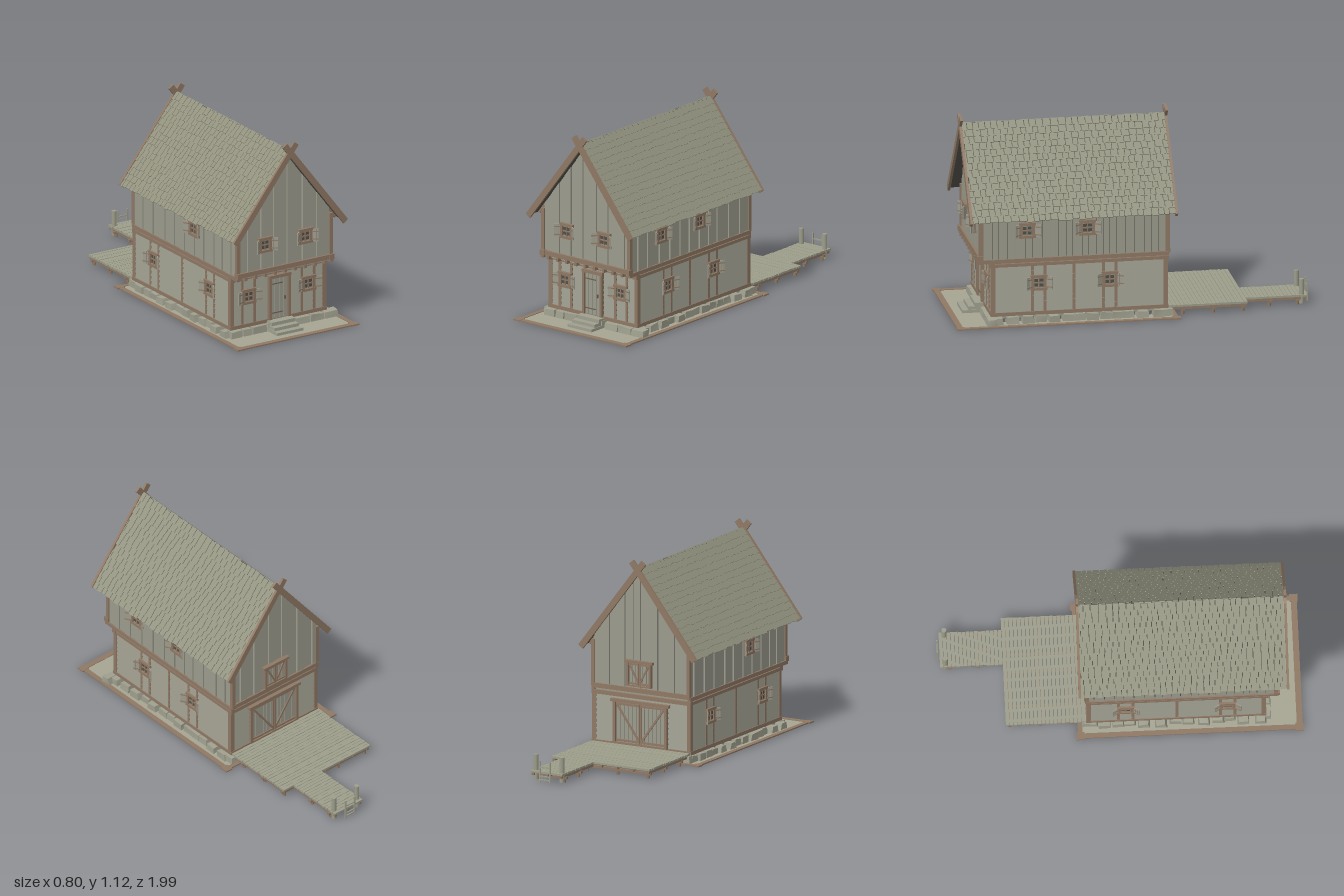
import * as THREE from 'three';
import { mergeGeometries } from 'three/addons/utils/BufferGeometryUtils.js';

const material = (name, color) => {
  const m = new THREE.MeshStandardMaterial({ color });
  m.name = name;
  return m;
};
const WALL = material('weatheredBoards', 0x9c9b8d);
const TRIM = material('brownTimber', 0x8f7864);
const ROOF = material('roofShingles', 0x92927f);
const STONE = material('fieldstone', 0xa0a08f);
const GROUND = material('packedGround', 0xa6a491);
const DECK = material('deckPlanks', 0x9d9d8b);
const GAP = material('darkGaps', 0x504f47);
const GLASS = material('windowGlass', 0x8f9288);
const IRON = material('iron', 0x6e5a4b);

let seed = 7;
const rnd = () => (seed = (seed * 16807) % 2147483647) / 2147483647;

// Box from centre and size, with optional rotation
const bx = (w, h, d, x, y, z, rx = 0, ry = 0, rz = 0) =>
  new THREE.BoxGeometry(w, h, d).rotateX(rx).rotateY(ry).rotateZ(rz).translate(x, y, z);
// Box from its limits
const span = (x0, x1, y0, y1, z0, z1) =>
  bx(x1 - x0, y1 - y0, z1 - z0, (x0 + x1) / 2, (y0 + y1) / 2, (z0 + z1) / 2);
const part = (parent, name, mat, ...geos) => {
  const mesh = new THREE.Mesh(geos.length > 1 ? mergeGeometries(geos) : geos[0], mat);
  mesh.name = name;
  parent.add(mesh);
  return mesh;
};

// Stand an object, built facing +z, on one of the four walls
const TURN = { front: 0, right: Math.PI / 2, back: Math.PI, left: -Math.PI / 2 };
function place(parent, obj, face, along, y, out) {
  obj.rotation.y = TURN[face];
  if (face === 'front' || face === 'back') obj.position.set(along, y, out);
  else obj.position.set(out, y, along);
  parent.add(obj);
}

function makeWindow(shutterTurn) {
  const g = new THREE.Group();
  g.name = 'window';
  part(g, 'glass', GLASS, span(-0.03, 0.03, -0.03, 0.03, 0, 0.006));
  part(g, 'windowFrame', TRIM,
    span(-0.042, -0.026, -0.04, 0.04, 0, 0.016), span(0.026, 0.042, -0.04, 0.04, 0, 0.016),
    span(-0.046, 0.046, 0.03, 0.045, 0, 0.018), span(-0.046, 0.046, -0.042, -0.028, 0, 0.018),
    span(-0.003, 0.003, -0.03, 0.03, 0, 0.011), span(-0.03, 0.03, -0.003, 0.003, 0, 0.011));
  part(g, 'windowGaps', GAP, ...[-1, 1].flatMap(s => [
    span(s * 0.014 - 0.01, s * 0.014 + 0.01, -0.022, -0.005, 0, 0.008),
    span(s * 0.014 - 0.01, s * 0.014 + 0.01, 0.005, 0.022, 0, 0.008)]));
  for (const s of [-1, 1]) {
    const shutter = new THREE.Group();
    shutter.name = 'shutter';
    part(shutter, 'shutterBoards', WALL, ...[0, 1, 2].map(i =>
      span(s * (0.006 + i * 0.012) - 0.0053, s * (0.006 + i * 0.012) + 0.0053, -0.036, 0.036, 0, 0.006)));
    part(shutter, 'shutterBattens', TRIM, ...[-0.022, 0.022].map(y =>
      bx(0.036, 0.006, 0.004, s * 0.018, y, 0.008)));
    shutter.position.set(s * 0.043, 0, 0.01);
    shutter.rotation.y = -s * shutterTurn;
    g.add(shutter);
  }
  return g;
}

// Lapped horizontal boards
function makeSiding(width) {
  const g = new THREE.Group();
  g.name = 'horizontalSiding';
  part(g, 'lapBoards', WALL, ...Array.from({ length: 9 }, (_, i) =>
    bx(width, 0.03, 0.007, 0, 0.079 + i * 0.0293, 0.002, -0.18)));
  return g;
}

// Upright boards; top(x) gives the height of the upper edge
function makeUprights(half, top) {
  const g = new THREE.Group();
  g.name = 'uprightBoards';
  const geos = [];
  for (let a = -half, i = 0; a < half - 0.005; i++) {
    let b = Math.min(half, a + 0.034 + rnd() * 0.026);
    if (half - b < 0.015) b = half;
    const x0 = a + 0.002, x1 = b - 0.002;
    const s = new THREE.Shape();
    s.moveTo(x0, 0.37).lineTo(x1, 0.37).lineTo(x1, top(x1));
    if (x0 < 0 && x1 > 0) s.lineTo(0, top(0));
    s.lineTo(x0, top(x0)).closePath();
    geos.push(new THREE.ExtrudeGeometry(s, { depth: i % 2 ? 0.012 : 0.007, bevelEnabled: false }));
    a = b;
  }
  part(g, 'boards', WALL, ...geos);
  return g;
}

function makeRoofHalf(s) {
  const g = new THREE.Group(), slope = new THREE.Group();
  g.name = 'roofHalf';
  slope.rotation.z = -0.914;
  g.add(slope);
  part(slope, 'roofUnderlay', GAP, span(-0.004, 0.585, -0.01, 0, -0.565, 0.565));
  const tiles = [];
  for (let r = 0; r < 15; r++) {
    for (let z = -0.568; z < 0.562;) {
      const w = Math.min(r % 2 && z === -0.568 ? 0.02 : 0.028 + rnd() * 0.018, 0.57 - z);
      tiles.push(bx(0.046, 0.006, w - 0.004, 0.02 + r * 0.0395 + (rnd() - 0.5) * 0.008, 0.005, z + w / 2, 0, 0, 0.1));
      z += w;
    }
  }
  part(slope, 'shingles', ROOF, ...tiles);
  part(slope, 'bargeBoards', TRIM, ...[-1, 1].map(e =>
    span(-0.055, 0.597, -0.022, 0.012, e * 0.572 + s * 0.004 - 0.007, e * 0.572 + s * 0.004 + 0.007)));
  part(slope, 'rafterEnds', TRIM, ...Array.from({ length: 12 }, (_, i) =>
    bx(0.1, 0.014, 0.016, 0.53, -0.016, -0.5 + i * 0.0909)));
  g.position.set(0, 1.065, 0.333);
  g.rotation.y = s > 0 ? 0 : Math.PI;
  return g;
}

// Rough stone: a box whose corners move by a seeded amount
function stone(w, h, d, x, z) {
  const g = new THREE.BoxGeometry(w, h, d), p = g.attributes.position;
  const k = Array.from({ length: 8 }, () => [rnd(), rnd(), rnd()]);
  for (let i = 0; i < p.count; i++) {
    const c = k[(p.getX(i) > 0 ? 1 : 0) + (p.getY(i) > 0 ? 2 : 0) + (p.getZ(i) > 0 ? 4 : 0)];
    const up = p.getY(i) > 0 ? 1 : 0;
    p.setXYZ(i, p.getX(i) * (1 - 0.2 * c[0]), p.getY(i) - up * 0.01 * c[1], p.getZ(i) * (1 - (0.1 + 0.3 * up) * c[2]));
  }
  g.computeVertexNormals();
  return g.translate(x, h / 2, z);
}

function makeDock() {
  const g = new THREE.Group();
  g.name = 'dock';
  const planks = [], frame = [], piles = [];
  const deck = (x0, x1, z0, z1) => {
    const n = Math.round((z0 - z1) / 0.022), p = (z0 - z1) / n;
    for (let i = 0; i < n; i++) {
      const j = rnd() * 0.004;
      planks.push(span(x0 + j, x1 - j, 0.046, 0.056 + rnd() * 0.002, z0 - (i + 1) * p + 0.001, z0 - i * p - 0.001));
    }
  };
  deck(-0.315, 0.315, -0.2, -0.64);
  deck(0.04, 0.245, -0.64, -0.985);
  for (const x of [-0.3, -0.2, -0.1, 0, 0.1, 0.2, 0.3]) frame.push(bx(0.014, 0.016, 0.43, x, 0.038, -0.42));
  for (const x of [0.055, 0.14, 0.23]) frame.push(bx(0.014, 0.016, 0.35, x, 0.038, -0.805));
  for (const [z, x0, x1] of [[-0.28, -0.31, 0.31], [-0.45, -0.31, 0.31], [-0.615, -0.31, 0.31], [-0.775, 0.04, 0.245], [-0.93, 0.04, 0.245]]) {
    frame.push(span(x0, x1, 0.02, 0.034, z - 0.009, z + 0.009));
    const n = x1 - x0 > 0.4 ? 4 : 2;
    for (let i = 0; i < n; i++)
      piles.push(new THREE.CylinderGeometry(0.01, 0.01, 0.032, 8).translate(x0 + 0.02 + i * (x1 - x0 - 0.04) / (n - 1), 0.016, z));
  }
  part(g, 'planks', DECK, ...planks);
  part(g, 'dockFrame', TRIM, ...frame);
  part(g, 'piles', TRIM, ...piles);
  part(g, 'mooringPosts', DECK, ...[0.06, 0.225].map(x =>
    new THREE.CylinderGeometry(0.014, 0.014, 0.14, 10).translate(x, 0.075, -0.955)));
  part(g, 'ladder', DECK, ...[0.11, 0.175].map(x => bx(0.008, 0.12, 0.008, x, 0.06, -0.996)),
    ...[0.015, 0.035, 0.085].map(y => bx(0.065, 0.006, 0.006, 0.1425, y, -0.996)));
  return g;
}

export function createModel() {
  const model = new THREE.Group();
  model.name = 'timberHouse';

  // Ground plate, open under the house, with a raised timber edge
  const rect = (C, x, z0, z1) => new C([[-x, z0], [x, z0], [x, z1], [-x, z1]].map(p => new THREE.Vector2(...p)));
  const plot = rect(THREE.Shape, 0.385, -0.985, 0.235);
  plot.holes.push(rect(THREE.Path, 0.285, -0.765, 0.175));
  part(model, 'ground', GROUND, new THREE.ExtrudeGeometry(plot, { depth: 0.004, bevelEnabled: false }).rotateX(-Math.PI / 2));
  part(model, 'groundEdge', TRIM, span(-0.39, 0.39, 0, 0.007, 0.957, 0.99), span(-0.39, 0.39, 0, 0.007, -0.245, -0.22),
    ...[-1, 1].flatMap(s => [bx(0.028, 0.007, 1.23, s * 0.376, 0.0035, 0.373),
      bx(0.045, 0.008, 0.045, s * 0.376, 0.004, 0.972), bx(0.045, 0.008, 0.045, s * 0.376, 0.004, -0.232)]));

  // Foundation
  const stones = [];
  for (const s of [-1, 1]) {
    for (let z = -0.19; z < 0.78;) {
      const w = 0.05 + rnd() * 0.05;
      stones.push(stone(w, 0.047, 0.07, s * 0.302, z + w / 2).translate(0, 0, 0));
      z += w;
    }
    for (let x = -0.325; x < 0.3;) {
      const w = 0.06 + rnd() * 0.05;
      stones.push(stone(w, 0.047, 0.06, x + w / 2, s > 0 ? 0.79 : -0.195));
      x += w;
    }
  }
  part(model, 'foundationStones', STONE, ...stones);
  part(model, 'steps', STONE, span(-0.085, 0.085, 0, 0.02, 0.79, 0.91),
    span(-0.08, 0.08, 0.02, 0.038, 0.79, 0.875), span(-0.075, 0.08, 0.038, 0.058, 0.79, 0.84));

  // Lower storey
  part(model, 'lowerWalls', WALL, span(-0.303, -0.285, 0.03, 0.35, -0.18, 0.778), span(0.285, 0.303, 0.03, 0.35, -0.18, 0.778),
    span(-0.3, 0.3, 0.03, 0.35, 0.76, 0.778), span(-0.3, 0.3, 0.03, 0.35, -0.182, -0.165));
  place(model, makeSiding(0.6), 'front', 0, 0, 0.78);
  place(model, makeSiding(0.6), 'back', 0, 0, -0.184);
  place(model, makeSiding(0.95), 'right', 0.298, 0, 0.304);
  place(model, makeSiding(0.95), 'left', 0.298, 0, -0.304);
  const timber = [];
  for (const s of [-1, 1]) {
    for (const z of [0.778, -0.183]) timber.push(bx(0.024, 0.29, 0.024, s * 0.302, 0.195, z));
    for (const x of [0.155, 0.235]) timber.push(bx(0.015, 0.265, 0.016, s * x, 0.195, 0.782));
    timber.push(bx(0.014, 0.02, 0.99, s * 0.309, 0.055, 0.298), bx(0.014, 0.018, 0.99, s * 0.308, 0.334, 0.298),
      bx(0.02, 0.022, 1.06, s * 0.305, 0.358, 0.33));
    for (const z of s > 0 ? [0.56, 0.49, 0.33, 0.165, 0.095] : [0.62, 0.54, 0.3, 0.06, -0.02])
      timber.push(bx(0.012, 0.265, 0.016, s * 0.306, 0.195, z));
  }
  for (const z of [0.783, -0.188])
    timber.push(bx(0.63, 0.02, 0.02, 0, 0.055, z), bx(0.63, 0.022, 0.022, 0, 0.335, z));
  part(model, 'lowerTimbers', TRIM, ...timber);

  // Jetty between the storeys
  part(model, 'jetty', TRIM, bx(0.62, 0.026, 0.024, 0, 0.378, 0.85), bx(0.62, 0.026, 0.02, 0, 0.373, -0.198),
    ...Array.from({ length: 9 }, (_, i) => bx(0.016, 0.02, 0.09, -0.26 + i * 0.065, 0.355, 0.82)),
    ...[-1, 1].flatMap(s => [bx(0.032, 0.03, 0.032, s * 0.3, 0.378, 0.851), bx(0.028, 0.026, 0.03, s * 0.302, 0.336, 0.786)]));
  part(model, 'upperFloor', WALL, span(-0.3, 0.3, 0.35, 0.364, -0.19, 0.84));

  // Upper storey
  const top = x => 1.043 - 1.297 * Math.abs(x);
  const gable = new THREE.Shape();
  gable.moveTo(-0.3, 0.364).lineTo(0.3, 0.364).lineTo(0.3, top(0.3)).lineTo(0, top(0)).lineTo(-0.3, top(0.3)).closePath();
  part(model, 'upperCore', GAP, new THREE.ExtrudeGeometry(gable, { depth: 1.03, bevelEnabled: false }).translate(0, 0, -0.19));
  place(model, makeUprights(0.298, top), 'front', 0, 0, 0.84);
  place(model, makeUprights(0.298, top), 'back', 0, 0, -0.19);
  place(model, makeUprights(0.515, () => 0.645), 'right', 0.325, 0, 0.3);
  place(model, makeUprights(0.515, () => 0.645), 'left', 0.325, 0, -0.3);
  part(model, 'upperCornerPosts', TRIM, ...[-1, 1].flatMap(s =>
    [0.845, -0.195].map(z => bx(0.02, 0.26, 0.024, s * 0.303, 0.5, z))));

  // Roof
  model.add(makeRoofHalf(1), makeRoofHalf(-1));

  // Windows: wall, position along it, height, distance out, shutter turn
  for (const [face, along, y, out, turn] of [
    ['front', -0.195, 0.222, 0.783, 0.3], ['front', 0.195, 0.222, 0.783, 0.3],
    ['front', -0.132, 0.53, 0.85, 0.7], ['front', 0.132, 0.53, 0.85, 0.7],
    ['right', 0.525, 0.227, 0.306, 0.5], ['right', 0.13, 0.227, 0.306, 0.5],
    ['right', 0.59, 0.53, 0.31, 0.5], ['right', 0.255, 0.53, 0.31, 0.5],
    ['left', 0.58, 0.227, -0.306, 0.5], ['left', 0.02, 0.227, -0.306, 0.5],
    ['left', 0.43, 0.53, -0.31, 0.5]]) place(model, makeWindow(turn), face, along, y, out);

  // Front door
  const door = new THREE.Group();
  door.name = 'frontDoor';
  part(door, 'doorGaps', GAP, span(-0.052, 0.056, 0.06, 0.3, 0, 0.008));
  part(door, 'doorBoards', WALL, ...[0, 1, 2, 3].map(i => span(-0.051 + i * 0.027, -0.027 + i * 0.027, 0.062, 0.298, 0, 0.013)));
  part(door, 'doorFrame', TRIM, span(-0.068, -0.052, 0.06, 0.31, 0, 0.022), span(0.056, 0.072, 0.06, 0.31, 0, 0.022),
    span(-0.07, 0.074, 0.298, 0.316, 0, 0.024));
  part(door, 'doorHinges', IRON, span(-0.05, 0.025, 0.093, 0.098, 0.01, 0.017), span(-0.05, 0.025, 0.262, 0.267, 0.01, 0.017),
    span(0.035, 0.042, 0.165, 0.185, 0.01, 0.02));
  place(model, door, 'front', 0, 0, 0.782);

  // Braced doors at the back: half width, bottom, top, frame width
  const bracedDoors = (name, w, y0, y1, f, out) => {
    const g = new THREE.Group();
    g.name = name;
    const h = y1 - y0, mid = (y0 + y1) / 2, n = Math.round(w / 0.025) * 2, p = 2 * w / n;
    part(g, 'doorGaps', GAP, span(-w, w, y0, y1, 0, 0.006));
    part(g, 'doorBoards', WALL, ...Array.from({ length: n }, (_, i) =>
      span(-w + i * p + 0.0015, -w + (i + 1) * p - 0.0015, y0, y1, 0, 0.01)));
    const bars = [span(-w - f, -w, y0, y1, 0, 0.02), span(w, w + f, y0, y1, 0, 0.02),
      span(-w - f * 1.8, w + f * 1.8, y1, y1 + f, 0, 0.024), span(-w - f, w + f, y0 - f * 0.6, y0, 0, 0.02)];
    for (const s of [-1, 1]) {
      bars.push(bx(w * 0.96, f * 0.7, 0.008, s * w / 2, y0 + f * 0.6, 0.012), bx(w * 0.96, f * 0.7, 0.008, s * w / 2, y1 - f * 0.6, 0.012));
      bars.push(bx(Math.hypot(w, h) * 0.86, f * 0.7, 0.007, s * w / 2, mid, 0.012, 0, 0, s * Math.atan2(h * 0.86, w * 0.9)));
      bars.push(bx(f * 0.5, h, 0.008, s * f * 0.35, mid, 0.012));
    }
    part(g, 'doorTimbers', TRIM, ...bars);
    place(model, g, 'back', 0.005, 0, out);
  };
  bracedDoors('barnDoors', 0.155, 0.07, 0.295, 0.017, -0.186);
  bracedDoors('loftHatch', 0.065, 0.405, 0.53, 0.014, -0.2);

  // Storage inside, seen through the open base
  part(model, 'storageChests', WALL, span(0.12, 0.28, 0.06, 0.15, 0.1, 0.3), span(-0.28, -0.14, 0.06, 0.17, 0.35, 0.6),
    span(-0.28, -0.1, 0.06, 0.13, -0.1, 0.1));

  model.add(makeDock());
  return model;
}
